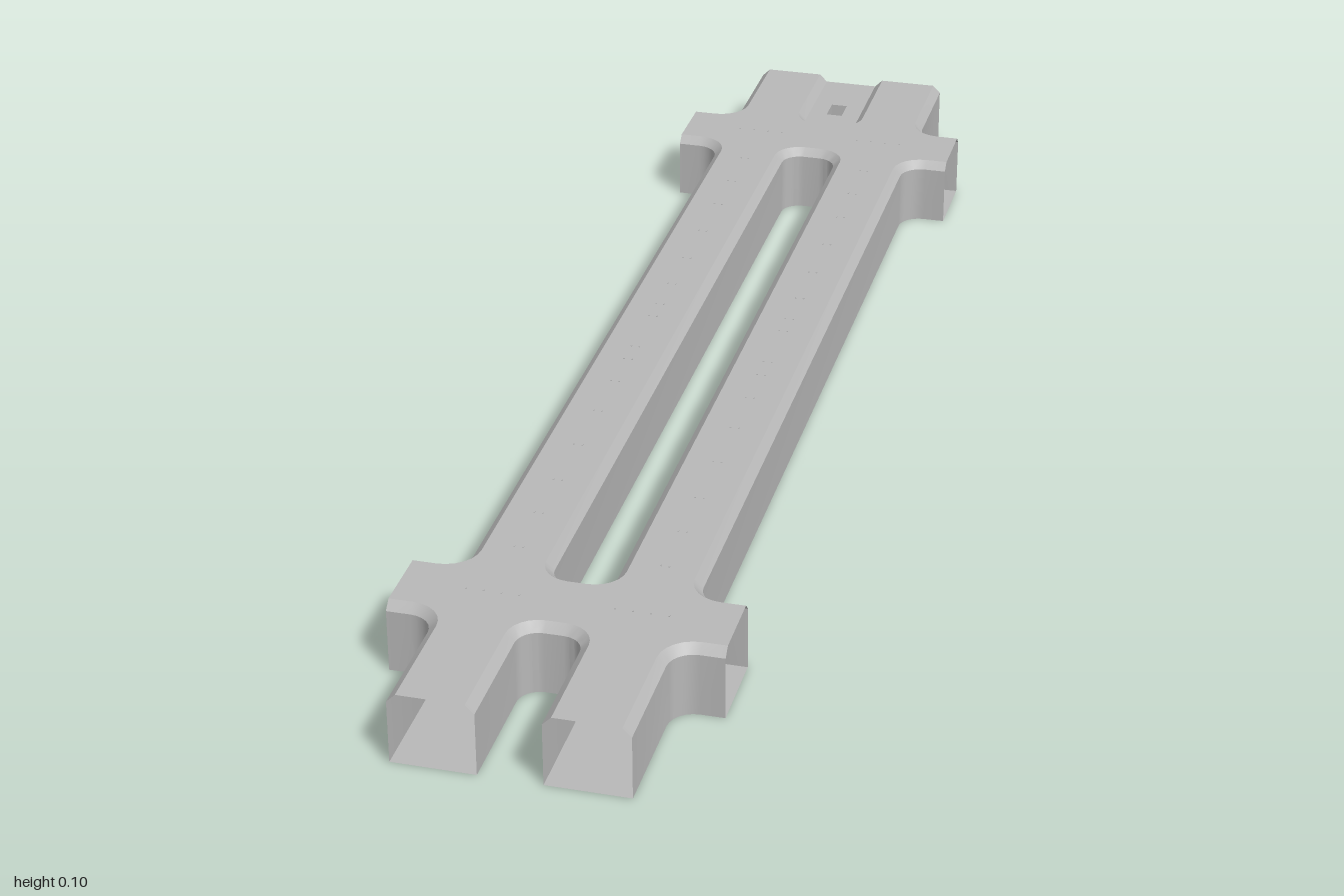
import * as THREE from 'three';
import { toCreasedNormals } from 'three/addons/utils/BufferGeometryUtils.js';

const TOP = 0.102, SHOULDER = 0.09, BEVEL = 0.012;
const ARM = 0.225, OUT = 0.157, IN = 0.043;   // x of arm ends, rail outsides, rail insides
const Z1 = 0.685, Z2 = 0.805;                 // z limits of each cross arm
const R = 0.035, RI = 0.03;                   // outer and inner fillet radii

// Arc in the x-z plane, angles in degrees
function arc(cx, cz, r, a0, a1, n = 6) {
  return Array.from({ length: n + 1 }, (_, i) => {
    const a = THREE.MathUtils.degToRad(a0 + (a1 - a0) * i / n);
    return [cx + r * Math.cos(a), cz + r * Math.sin(a)];
  });
}
const flipX = (p) => p.map(([x, z]) => [-x, z]).reverse();
const flipZ = (p) => p.map(([x, z]) => [x, -z]).reverse();

// Edge paths; d pushes each edge into the body for the bevel
const cornerPath = (d) => [[OUT - d, 1], ...arc(OUT + R, Z2 + R, R + d, 180, 270), [ARM, Z2 - d]];
const sidePath = (d) => [
  [ARM, Z1 + d], ...arc(OUT + R, Z1 - R, R + d, 90, 180),
  ...arc(OUT + R, -Z1 + R, R + d, 180, 270), [ARM, -Z1 - d],
];
const notchPath = (d) => [
  [-IN - d, 1], ...arc(-IN + RI, Z2 + RI, RI + d, 180, 270),
  ...arc(IN - RI, Z2 + RI, RI + d, 270, 360), [IN + d, 1],
];
const windowPath = (d) => {
  const x = IN - RI, z = Z1 - RI, r = RI + d;
  const p = [...arc(x, z, r, 0, 90), ...arc(-x, z, r, 90, 180),
    ...arc(-x, -z, r, 180, 270), ...arc(x, -z, r, 270, 360)];
  return [...p, p[0]];
};
const slotPath = () => [[0.013, -0.905], [0.013, -0.863], [-0.013, -0.863], [-0.013, -0.905], [0.013, -0.905]];

// Strip of wall through several levels, each [y, path]
function loft(levels) {
  const pos = [];
  for (let l = 0; l < levels.length - 1; l++) {
    const [y0, p] = levels[l], [y1, q] = levels[l + 1];
    for (let i = 0; i < p.length - 1; i++) {
      const a = [p[i][0], y0, p[i][1]], b = [p[i + 1][0], y0, p[i + 1][1]];
      const c = [q[i + 1][0], y1, q[i + 1][1]], e = [q[i][0], y1, q[i][1]];
      pos.push(...a, ...b, ...c, ...a, ...c, ...e);
    }
  }
  const g = new THREE.BufferGeometry();
  g.setAttribute('position', new THREE.Float32BufferAttribute(pos, 3));
  return toCreasedNormals(g, 0.5);
}

// Flat sheet from an outline with holes
function sheet(outline, holes, y, up) {
  const s = up ? -1 : 1;
  const pts = (p) => p.map(([x, z]) => new THREE.Vector2(x, s * z));
  const shape = new THREE.Shape(pts(outline));
  holes.forEach((h) => shape.holes.push(new THREE.Path(pts(h.slice(0, -1)))));
  return new THREE.ShapeGeometry(shape).rotateX(s * Math.PI / 2).translate(0, y, 0);
}

// Whole plan outline, with or without the rear notch
function plan(d, rearNotch) {
  const right = [...cornerPath(d), ...sidePath(d), ...flipZ(cornerPath(d))];
  return [...right, ...(rearNotch ? flipZ(notchPath(d)) : []), ...flipX(right), ...notchPath(d)];
}

export function createModel() {
  const grey = new THREE.MeshStandardMaterial({ color: 0xb8b8b8, side: THREE.DoubleSide });
  grey.name = 'plain grey';
  const group = new THREE.Group();
  group.name = 'twinRailFrame';
  const add = (name, geometry) => {
    const m = new THREE.Mesh(geometry, grey);
    m.name = name;
    group.add(m);
    return m;
  };

  // Top and bottom skins
  add('topSkin', sheet(plan(BEVEL, true), [windowPath(BEVEL)], TOP, true));
  add('bottomSkin', sheet(plan(0, false), [windowPath(0), slotPath()], 0, false));

  // Side walls with a bevelled shoulder; rail and arm ends stay open
  const wall = (name, path) => add(name, loft([[0, path(0)], [SHOULDER, path(0)], [TOP, path(BEVEL)]]));
  wall('rightFrontCornerWall', (d) => flipX(cornerPath(d)));
  wall('leftFrontCornerWall', cornerPath);
  wall('leftBackCornerWall', (d) => flipZ(cornerPath(d)));
  wall('rightBackCornerWall', (d) => flipX(flipZ(cornerPath(d))));
  wall('leftSideWall', sidePath);
  wall('rightSideWall', (d) => flipX(sidePath(d)));
  wall('windowWall', windowPath);
  wall('frontNotchWall', notchPath);

  // Shallow rear tray with a slot running through to the bottom
  add('trayRim', loft([[SHOULDER, flipZ(notchPath(0))], [TOP, flipZ(notchPath(BEVEL))]]));
  add('trayFloor', sheet(flipZ(notchPath(0)), [slotPath()], SHOULDER, true));
  add('traySlotWall', loft([[0, slotPath()], [SHOULDER, slotPath()]]));

  // Mounting plates under the top skin and tiny pins along each rail
  const plate = new THREE.BoxGeometry(0.075, 0.007, 0.04);
  const pin = new THREE.BoxGeometry(0.002, 0.008, 0.003);
  for (const sx of [-1, 1]) {
    for (const sz of [-1, 1]) {
      add('mountingPlate', plate).position.set(sx * 0.1, 0.0915, sz * 0.745);
      for (const dx of [-0.036, -0.012, 0.012, 0.036]) {
        add('armPin', pin).position.set(sx * 0.1 + dx, 0.099, sz * 0.745);
      }
      for (const z of [0.05, 0.09, 0.16, 0.25, 0.35, 0.45, 0.54, 0.63]) {
        for (const dx of [-0.006, 0.006]) add('railPin', pin).position.set(sx * 0.1 + dx, 0.099, sz * z);
      }
    }
  }
  return group;
}
